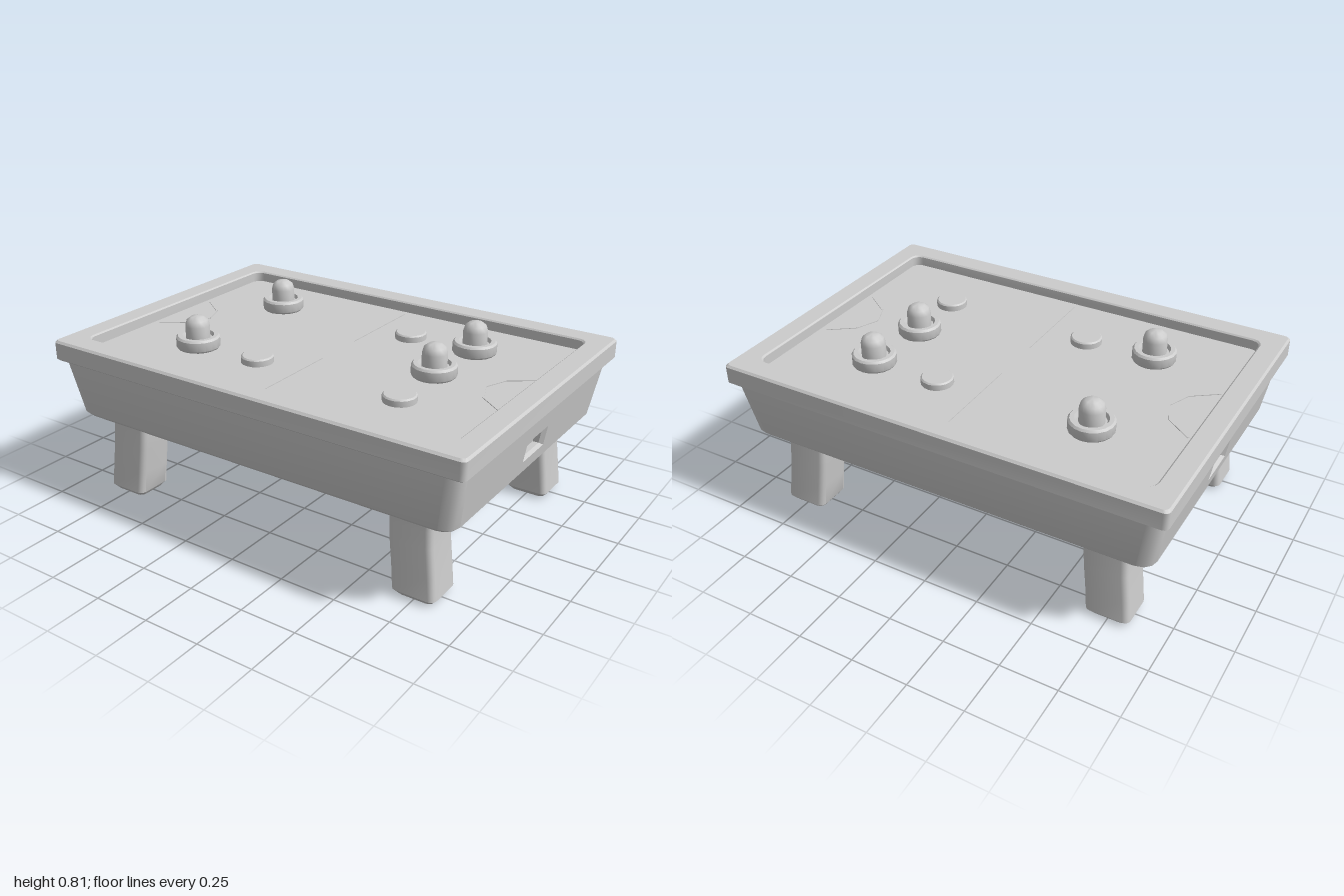
import * as THREE from 'three';
import { toCreasedNormals } from 'three/addons/utils/BufferGeometryUtils.js';

const material = new THREE.MeshStandardMaterial({ color: 0xcccccc });
const FLOOR = 0.67;

function add(parent, geometry, name) {
  const mesh = new THREE.Mesh(geometry, material);
  mesh.name = name;
  parent.add(mesh);
  return mesh;
}

// Horizontal rounded rectangle, counter-clockwise seen from above
function ring(y, hx, hz, r, cx = 0, cz = 0, n = 3) {
  const points = [];
  for (let k = 0; k < 4; k++) {
    const sx = k === 0 || k === 3 ? 1 : -1;
    const sz = k < 2 ? -1 : 1;
    for (let i = 0; i <= n; i++) {
      const a = (k + i / n) * Math.PI / 2;
      points.push([cx + sx * (hx - r) + r * Math.cos(a), y, cz + sz * (hz - r) - r * Math.sin(a)]);
    }
  }
  return points;
}

// Skins a stack of rings; skip(i, j) leaves a quad open
function loft(rings, { start = false, end = false, skip = () => false } = {}) {
  const pos = [];
  const n = rings[0].length;
  const tri = (a, b, c) => pos.push(...a, ...b, ...c);
  for (let i = 0; i < rings.length - 1; i++) {
    for (let j = 0; j < n; j++) {
      if (skip(i, j)) continue;
      const k = (j + 1) % n;
      tri(rings[i][j], rings[i][k], rings[i + 1][k]);
      tri(rings[i][j], rings[i + 1][k], rings[i + 1][j]);
    }
  }
  const first = rings[0], last = rings[rings.length - 1];
  for (let j = 1; j < n - 1; j++) {
    if (start) tri(first[0], first[j + 1], first[j]);
    if (end) tri(last[0], last[j], last[j + 1]);
  }
  const g = new THREE.BufferGeometry();
  g.setAttribute('position', new THREE.Float32BufferAttribute(pos, 3));
  return toCreasedNormals(g, 0.6);
}

// Flat marking strip on the playfield between two [x, z] points
function strip(parent, a, b, width, name) {
  const dx = b[0] - a[0], dz = b[1] - a[1];
  const m = add(parent, new THREE.BoxGeometry(Math.hypot(dx, dz), 0.004, width), name);
  m.position.set((a[0] + b[0]) / 2, FLOOR + 0.001, (a[1] + b[1]) / 2);
  m.rotation.y = -Math.atan2(dz, dx);
}

// Sloped end wall with a recessed coin-return style slot, facing +x
function createEnd(y0, x0, z0, y1, x1, z1) {
  const end = new THREE.Group();
  const wallX = y => x0 + (x1 - x0) * (y - y0) / (y1 - y0);
  const rect = (hu, v0, v1) => [[-hu, v0], [hu, v0], [hu, v1], [-hu, v1]];
  const outer = rect(0.095, 0.438, 0.525);
  const toV2 = p => new THREE.Vector2(p[0], p[1]);

  const shape = new THREE.Shape([[-z0, y0], [z0, y0], [z1, y1], [-z1, y1]].map(toV2));
  shape.holes.push(new THREE.Path(outer.map(toV2).reverse()));
  const wall = new THREE.ShapeGeometry(shape);
  const p = wall.attributes.position;
  for (let i = 0; i < p.count; i++) p.setZ(i, wallX(p.getY(i)));
  wall.computeVertexNormals();
  add(end, wall, 'endWall');

  const inner = rect(0.077, 0.45, 0.513);
  const depth = (loop, d) => loop.map(([u, v]) => [u, v, wallX(v) - d]);
  add(end, loft([depth(outer, 0), depth(inner, 0.015), depth(inner, 0.04)], { end: true }), 'slotRecess');
  return end;
}

function createMallet() {
  const profile = [[0, 0], [0.09, 0], [0.096, 0.008], [0.096, 0.047], [0.088, 0.056], [0.07, 0.056],
    [0.062, 0.04], [0.053, 0.04], [0.053, 0.1], [0.046, 0.124], [0.028, 0.138], [0, 0.143]];
  const g = new THREE.LatheGeometry(profile.map(([x, y]) => new THREE.Vector2(x, y)), 18);
  return toCreasedNormals(g, 0.7);
}

function createPuck() {
  const profile = [[0, 0], [0.07, 0], [0.07, 0.025], [0.064, 0.031], [0, 0.031]];
  const g = new THREE.LatheGeometry(profile.map(([x, y]) => new THREE.Vector2(x, y)), 18);
  return toCreasedNormals(g, 0.7);
}

export function createModel() {
  const table = new THREE.Group();
  table.name = 'airHockeyTable';

  // Tapered cabinet, its end walls left open for the slotted panels
  const r = 0.06;
  add(table, loft([
    ring(0.37, 0.92, 0.632, r), ring(0.385, 0.935, 0.646, r),
    ring(0.62, 0.974, 0.682, r), ring(0.632, 0.974, 0.682, r),
  ], { start: true, skip: (i, j) => i === 1 && (j === 7 || j === 15) }), 'cabinet');
  for (const turn of [1, -1]) {
    const end = createEnd(0.385, 0.935, 0.646 - r, 0.62, 0.974, 0.682 - r);
    end.name = turn > 0 ? 'leftEnd' : 'rightEnd';
    end.rotation.y = turn * Math.PI / 2;
    table.add(end);
  }

  // Overhanging rim that turns down into the sunken playfield
  add(table, loft([
    ring(0.628, 0.95, 0.65, 0.02), ring(0.628, 0.99, 0.69, 0.02), ring(0.636, 1, 0.7, 0.022),
    ring(0.71, 1, 0.7, 0.022), ring(0.719, 0.991, 0.691, 0.02),
    ring(0.719, 0.905, 0.6, 0.045), ring(0.713, 0.898, 0.593, 0.04), ring(FLOOR, 0.898, 0.593, 0.04),
  ]), 'rim');
  add(table, loft([ring(FLOOR - 0.01, 0.9, 0.595, 0.04), ring(FLOOR, 0.9, 0.595, 0.04)],
    { start: true, end: true }), 'playfield');

  // Playfield markings
  strip(table, [0, -0.56], [0, -0.12], 0.02, 'centreLine');
  strip(table, [0, 0.12], [0, 0.56], 0.02, 'centreLine');
  const centre = new THREE.RingGeometry(0.11, 0.125, 8, 1).rotateX(-Math.PI / 2);
  add(table, centre, 'centreCircle').position.y = FLOOR + 0.003;
  const goal = [[0.87, -0.18], [0.76, -0.1], [0.718, 0], [0.76, 0.1], [0.87, 0.18]];
  for (const s of [1, -1]) {
    for (let i = 0; i < goal.length - 1; i++) {
      strip(table, [s * goal[i][0], goal[i][1]], [s * goal[i + 1][0], goal[i + 1][1]], 0.008, 'goalLine');
    }
  }

  // Splayed, slightly curved legs with bevelled feet
  for (const sx of [1, -1]) {
    for (const sz of [1, -1]) {
      const section = (y, cx, hx, cz, hz, c = 0.025) => ring(y, hx, hz, c, sx * cx, sz * cz);
      add(table, loft([
        section(0, 0.748, 0.078, 0.504, 0.07), section(0.022, 0.748, 0.096, 0.504, 0.088),
        section(0.12, 0.738, 0.095, 0.5, 0.087), section(0.24, 0.724, 0.095, 0.496, 0.086),
        section(0.31, 0.719, 0.095, 0.493, 0.085), section(0.385, 0.717, 0.096, 0.491, 0.085),
      ], { start: true, end: true }), `${sz > 0 ? 'front' : 'back'}${sx > 0 ? 'Left' : 'Right'}Leg`);
    }
  }

  // Mallets and pucks in play
  const mallet = createMallet();
  for (const [x, z] of [[-0.52, -0.31], [0.508, -0.31], [0.49, 0.01], [-0.52, 0.305]]) {
    add(table, mallet, 'mallet').position.set(x, FLOOR, z);
  }
  const puck = createPuck();
  for (const [x, z] of [[0.19, -0.31], [-0.2, 0.297], [0.505, 0.305]]) {
    add(table, puck, 'puck').position.set(x, FLOOR, z);
  }
  return table;
}
